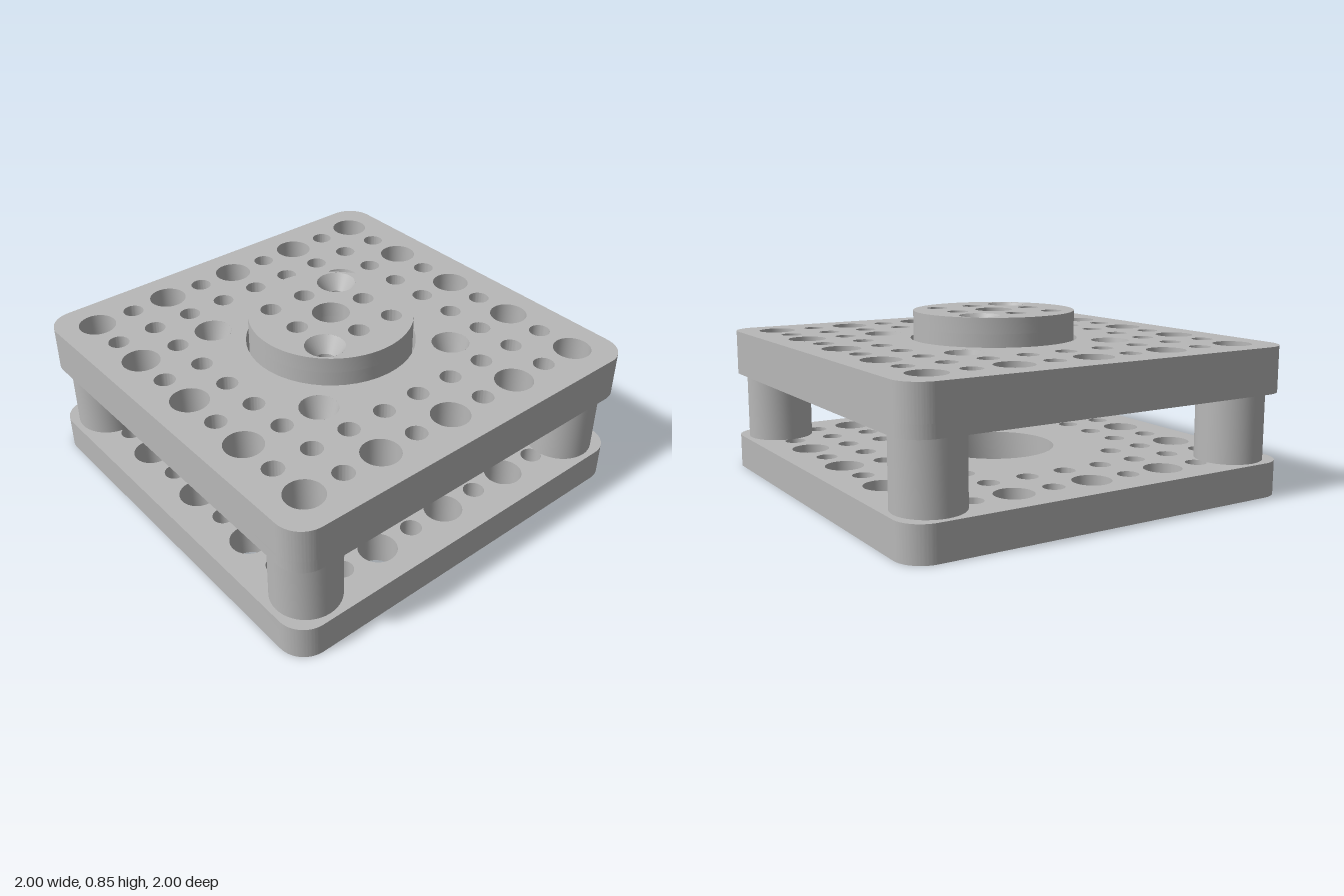
import * as THREE from 'three';
import { toCreasedNormals } from 'three/addons/utils/BufferGeometryUtils.js';

const PITCH = 0.2027, BIG = 0.09, SMALL = 0.05;
const metal = new THREE.MeshStandardMaterial({ color: 0xb8b8b8, side: THREE.DoubleSide });
metal.name = 'plain grey';

function roundedSquare(half, r) {
  const s = new THREE.Shape(), c = half - r;
  s.absarc(c, c, r, 0, Math.PI / 2);
  s.absarc(-c, c, r, Math.PI / 2, Math.PI);
  s.absarc(-c, -c, r, Math.PI, Math.PI * 1.5);
  s.absarc(c, -c, r, Math.PI * 1.5, Math.PI * 2);
  s.closePath();
  return s;
}

function disc(r) {
  return new THREE.Shape().absarc(0, 0, r, 0, Math.PI * 2);
}

// Holes are [x, z, radius]; the slab lies flat between two heights.
function slab(name, shape, holes, y0, y1, segments = 16) {
  for (const [x, z, r] of holes) {
    shape.holes.push(new THREE.Path().absarc(x, -z, r, 0, Math.PI * 2, true));
  }
  const g = new THREE.ExtrudeGeometry(shape, {
    depth: y1 - y0, bevelEnabled: false, curveSegments: segments,
  });
  g.rotateX(-Math.PI / 2);
  g.translate(0, y0, 0);
  const mesh = new THREE.Mesh(toCreasedNormals(g, Math.PI / 6), metal);
  mesh.name = name;
  return mesh;
}

// Tapered inner wall of a hole, optionally leaning outwards at the bottom.
function taper(name, x, z, rTop, rBottom, y0, y1, lean = 0) {
  const g = new THREE.CylinderGeometry(rTop, rBottom, y1 - y0, 32, 1, true);
  const p = g.attributes.position;
  for (let i = 0; i < p.count; i++) {
    if (p.getY(i) < 0) {
      p.setX(i, p.getX(i) + Math.sign(x) * lean);
      p.setZ(i, p.getZ(i) + Math.sign(z) * lean);
    }
  }
  g.computeVertexNormals();
  const mesh = new THREE.Mesh(g, metal);
  mesh.name = name;
  mesh.position.set(x, (y0 + y1) / 2, z);
  return mesh;
}

// Alternating big and small holes in the two outer rings of the grid.
function gridHoles() {
  const holes = [];
  for (let i = -4; i <= 4; i++) {
    for (let j = -4; j <= 4; j++) {
      if (Math.max(Math.abs(i), Math.abs(j)) < 3) continue;
      const big = i % 2 === 0 && j % 2 === 0;
      holes.push([i * PITCH, j * PITCH, big ? BIG : SMALL]);
    }
  }
  return holes;
}

const corners = [[-1, -1], [1, -1], [-1, 1], [1, 1]];

export function createModel() {
  const model = new THREE.Group();
  model.name = 'perforatedStand';
  const inner = (r, lean = 0) => corners.map(([a, b]) =>
    [a * (2 * PITCH + lean), b * (2 * PITCH + lean), r]);
  const square = () => roundedSquare(1, 0.13);

  // Base plate with a wide central opening
  model.add(slab('basePlate', square(),
    [...gridHoles(), ...inner(SMALL, 0.01), [0, 0, 0.3]], 0, 0.165));

  // Upper plate: thin floor below, recessed layer above
  const upper = new THREE.Group();
  upper.name = 'upperPlate';
  upper.add(slab('recessFloor', square(),
    [...gridHoles(), ...inner(SMALL, 0.01), [0, 0, BIG]], 0.49, 0.55));
  upper.add(slab('recessedLayer', square(),
    [...gridHoles(), ...inner(BIG), [0, 0, 0.408]], 0.55, 0.71, 24));
  for (const [x, z] of inner(BIG)) {
    upper.add(taper('taperedHole', x, z, BIG, SMALL, 0.55, 0.71, 0.01));
  }
  model.add(upper);

  // Hollow corner posts
  for (const [a, b] of corners) {
    const post = slab('cornerPost', disc(0.16), [[0, 0, BIG]], 0.165, 0.49, 24);
    post.position.set(a * 4 * PITCH, 0, b * 4 * PITCH);
    model.add(post);
  }

  // Central hub with one bore, six pin holes and two countersinks
  const hub = new THREE.Group();
  hub.name = 'hub';
  const lower = [[0, 0, BIG]], top = [[0, 0, BIG]];
  for (let i = -1; i <= 1; i++) {
    for (let j = -1; j <= 1; j++) {
      if (!i && !j) continue;
      const x = i * PITCH, z = j * PITCH, sunk = i === -j;
      lower.push([x, z, sunk ? 0.045 : SMALL]);
      top.push([x, z, sunk ? 0.095 : SMALL]);
      if (sunk) hub.add(taper('countersink', x, z, 0.095, 0.045, 0.77, 0.845));
    }
  }
  hub.add(slab('hubBody', disc(0.393), lower, 0.55, 0.77, 32));
  hub.add(slab('hubTop', disc(0.393), top, 0.77, 0.845, 32));
  model.add(hub);
  return model;
}
